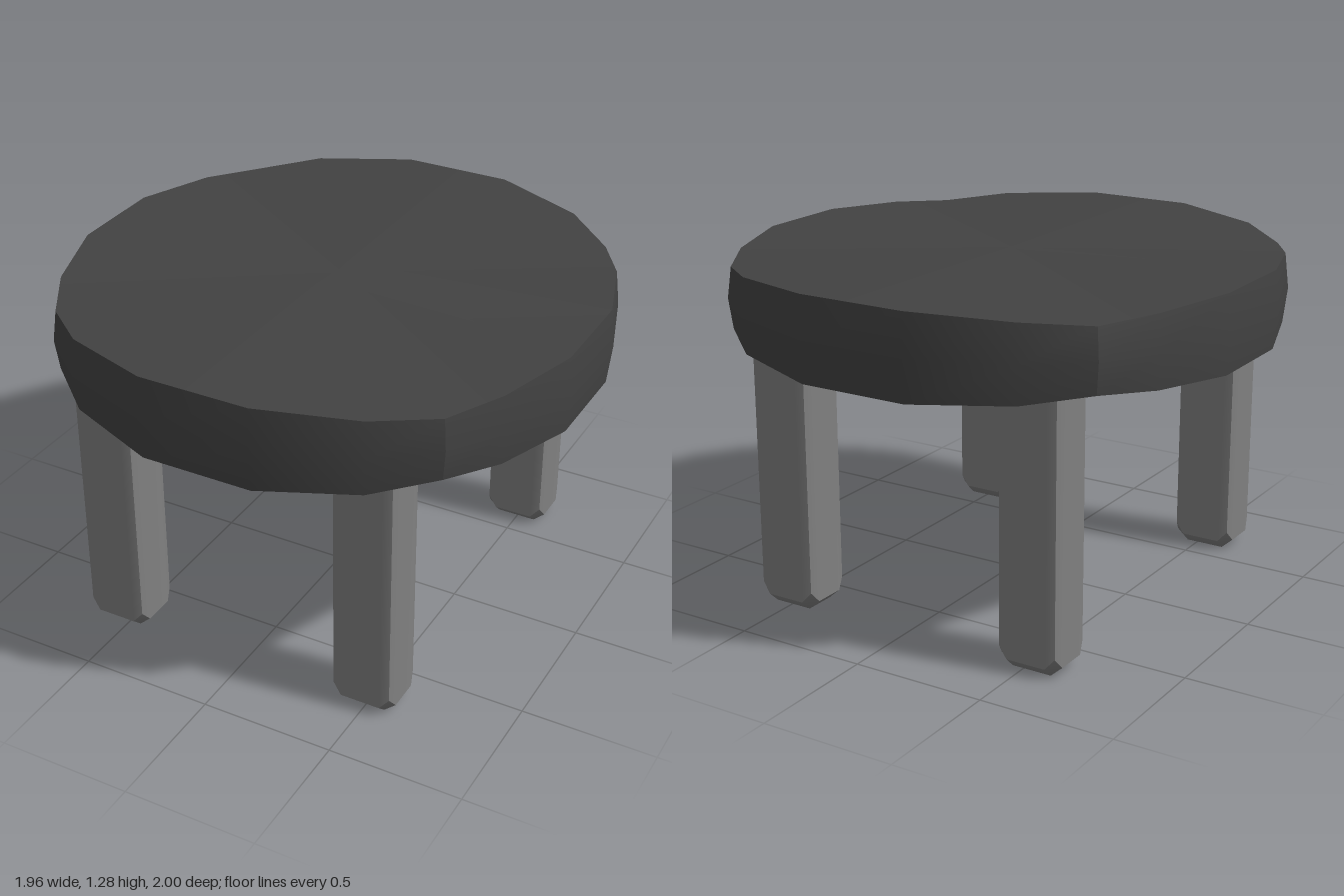
import * as THREE from 'three';
import { mergeVertices } from 'three/addons/utils/BufferGeometryUtils.js';

const seatMaterial = new THREE.MeshStandardMaterial({ color: 0x424242 });
seatMaterial.name = 'dark grey seat';
const legMaterial = new THREE.MeshStandardMaterial({ color: 0x808080 });
legMaterial.name = 'mid grey legs';

// Smooth surface through rows of points, listed bottom to top
function patch(rows) {
  const n = rows[0].length, index = [];
  for (let r = 0; r < rows.length - 1; r++) {
    for (let c = 0; c < n - 1; c++) {
      const a = r * n + c, d = a + n;
      index.push(a, a + 1, d + 1, a, d + 1, d);
    }
  }
  const g = new THREE.BufferGeometry();
  g.setAttribute('position', new THREE.Float32BufferAttribute(rows.flat(2), 3));
  g.setIndex(index);
  const merged = mergeVertices(g, 1e-4);
  merged.computeVertexNormals();
  return merged;
}

function add(group, name, rows, material) {
  const mesh = new THREE.Mesh(patch(rows), material);
  mesh.name = name;
  group.add(mesh);
}

// Full outline from a front side and a right side, turned half round for the rest
function outline(front, right) {
  const half = [...front.slice(0, -1), ...right.slice(0, -1)];
  const turned = half.map(([x, z, ...rest]) => [-x, -z, ...rest]);
  return [...half, ...turned, half[0]];
}

// Cushion with four bowed sides meeting at creased corners
function makeSeat() {
  const seat = new THREE.Group();
  seat.name = 'seat';
  const midY = 1.122;
  // x, z, half thickness at the rim
  const loop = outline(
    [[-0.76, 0.70, 0.115], [-0.56, 0.87, 0.138], [-0.21, 1, 0.155],
      [0.21, 1, 0.155], [0.56, 0.87, 0.138], [0.76, 0.70, 0.115]],
    [[0.76, 0.70, 0.115], [0.88, 0.50, 0.13], [0.98, 0.19, 0.143],
      [0.98, -0.19, 0.143], [0.88, -0.50, 0.13], [0.76, -0.70, 0.115]]
  );
  const k = 0.985;
  const low = loop.map(([x, z, h]) => [x * k, midY - h, z * k]);
  const mid = loop.map(([x, z]) => [x, midY, z]);
  const high = loop.map(([x, z, h]) => [x * k, midY + h, z * k]);
  ['Front', 'Left', 'Back', 'Right'].forEach((side, i) => {
    const part = (row) => row.slice(i * 5, i * 5 + 6);
    add(seat, 'seatSide' + side, [part(low), part(mid), part(high)], seatMaterial);
  });
  const centre = (y) => loop.map(() => [0, y, 0]);
  add(seat, 'seatTop', [high, centre(midY + 0.143)], seatMaterial);
  add(seat, 'seatUnderside', [centre(midY - 0.143), low], seatMaterial);
  return seat;
}

// Square post with slightly bowed faces and a rounded foot
function makeLeg(name) {
  const leg = new THREE.Group();
  leg.name = name;
  // x, z, height of the foot edge
  const loop = outline(
    [[-0.11, 0.093, 0.08], [-0.075, 0.103, 0.04], [0.075, 0.103, 0.04], [0.11, 0.093, 0.08]],
    [[0.11, 0.093, 0.08], [0.12, 0.06, 0.04], [0.12, -0.06, 0.04], [0.11, -0.093, 0.08]]
  );
  const low = loop.map(([x, z, y]) => [x, y, z]);
  const high = loop.map(([x, z]) => [x, 1.08, z]);
  ['Front', 'Left', 'Back', 'Right'].forEach((side, i) => {
    const part = (row) => row.slice(i * 3, i * 3 + 4);
    add(leg, 'legFace' + side, [part(low), part(high)], legMaterial);
  });
  const sole = loop.map(([x, z]) => [Math.sign(x) * 0.075, 0, Math.sign(z) * 0.06]);
  add(leg, 'foot', [loop.map(() => [0, 0, 0]), sole, low], legMaterial);
  return leg;
}

export function createModel() {
  const stool = new THREE.Group();
  stool.name = 'stool';
  stool.add(makeSeat());
  for (const [side, x] of [['Left', 0.495], ['Right', -0.532]]) {
    for (const [end, z] of [['front', 0.665], ['back', -0.665]]) {
      const leg = makeLeg(end + side + 'Leg');
      leg.position.set(x, 0, z);
      stool.add(leg);
    }
  }
  return stool;
}
